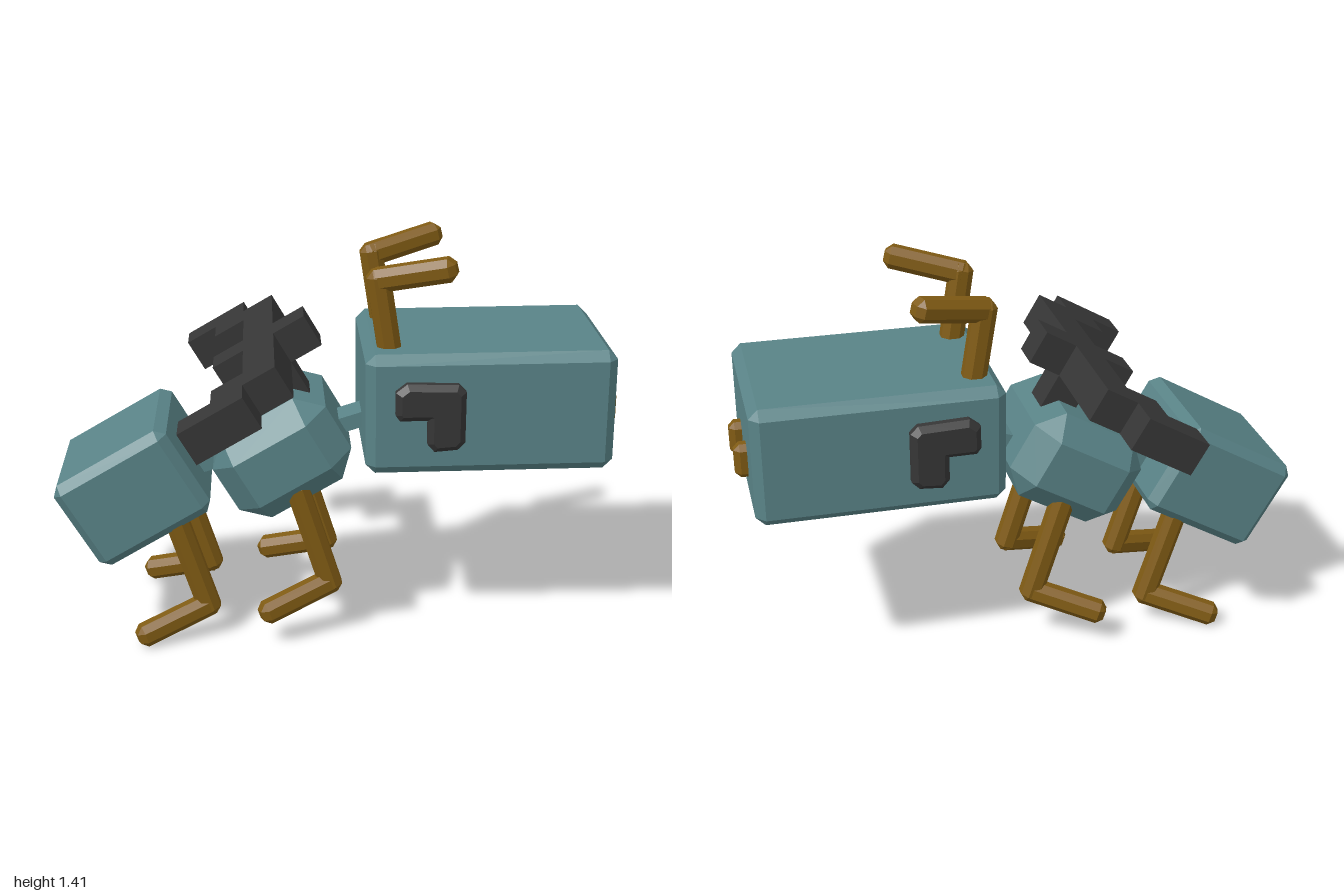
import * as THREE from 'three';
import { ConvexGeometry } from 'three/addons/geometries/ConvexGeometry.js';

const material = (color) => new THREE.MeshStandardMaterial({ color, flatShading: true });
const V = (x, y, z) => new THREE.Vector3(x, y, z);
const TILT = Math.PI / 6;

// Box with every edge and corner cut flat
function chamferBox(w, h, d, c) {
  const pts = [];
  for (const x of [-w / 2, w / 2])
    for (const y of [-h / 2, h / 2])
      for (const z of [-d / 2, d / 2]) {
        const cx = x - Math.sign(x) * c, cy = y - Math.sign(y) * c, cz = z - Math.sign(z) * c;
        pts.push(V(x, cy, cz), V(cx, y, cz), V(cx, cy, z));
      }
  return new ConvexGeometry(pts);
}

export function createModel() {
  const model = new THREE.Group();
  const teal = material(0x598387);
  const amber = material(0x805b14);
  const dark = material(0x363636);

  function add(name, geometry, mat, x, y, z, tilt = 0, parent = model) {
    const mesh = new THREE.Mesh(geometry, mat);
    mesh.name = name;
    mesh.position.set(x, y, z);
    mesh.rotation.z = tilt;
    parent.add(mesh);
    return mesh;
  }

  // Body segments and the links between them
  add('head', chamferBox(0.862, 0.43, 0.62, 0.033), teal, 0.522, 0.881, 0, 0.005);
  add('thorax', chamferBox(0.46, 0.35, 0.51, 0.085), teal, -0.195, 0.68, 0, TILT);
  add('abdomen', chamferBox(0.46, 0.355, 0.51, 0.032), teal, -0.722, 0.56, 0, TILT);
  add('neck', new THREE.BoxGeometry(0.2, 0.055, 0.12), teal, 0.055, 0.77, 0, 0.3);
  add('waist', new THREE.BoxGeometry(0.2, 0.055, 0.12), teal, -0.455, 0.625, 0, 0.3);

  // L-shaped eyes with bevelled rims
  const eyeShape = new THREE.Shape([
    [0.21, 0.9], [0.215, 0.893], [0.315, 0.893], [0.32, 0.887], [0.32, 0.795], [0.333, 0.78],
    [0.395, 0.785], [0.41, 0.8], [0.41, 0.965], [0.395, 0.98], [0.235, 0.985], [0.21, 0.965],
  ].map(([x, y]) => new THREE.Vector2(x, y)));
  const eyeGeometry = new THREE.ExtrudeGeometry(eyeShape, {
    depth: 0.06, bevelThickness: 0.02, bevelSize: 0.02, bevelSegments: 1,
  });
  eyeGeometry.translate(0, 0, -0.03);

  // Bent limb made of two chamfered bars
  const T = 0.082;
  function limb(name, root, bend, tip) {
    const group = new THREE.Group();
    group.name = name;
    const bar = (part, a, b, extraA, extraB) => {
      const dir = b.clone().sub(a).normalize();
      const start = a.clone().addScaledVector(dir, -extraA);
      const end = b.clone().addScaledVector(dir, extraB);
      const mesh = add(part, chamferBox(T, T, start.distanceTo(end), 0.023), amber, 0, 0, 0, 0, group);
      mesh.position.copy(start).add(end).multiplyScalar(0.5);
      mesh.up.set(0, 0, 1);
      mesh.lookAt(end);
    };
    bar('upperBar', root, bend, 0, 0.038);
    bar('lowerBar', bend, tip, 0.03, 0.01);
    model.add(group);
  }

  for (const [side, s] of [['left', 1], ['right', -1]]) {
    // The head points along +x, so the sides are named by z only for pairing
    add(side + 'Eye', eyeGeometry, dark, 0, 0, s * 0.302);
    add(side + 'Mandible', chamferBox(0.1, 0.125, 0.066, 0.02), amber, 0.947, 0.828, s * 0.087);
    limb(side + 'Antenna', V(0.185, 1.04, s * 0.175), V(0.14, 1.328, s * 0.178), V(0.385, 1.385, s * 0.26));
    limb(side + 'FrontLeg', V(-0.15, 0.6, s * 0.187), V(-0.028, 0.208, s * 0.187), V(-0.27, 0.13, s * 0.285));
    limb(side + 'RearLeg', V(-0.59, 0.52, s * 0.187), V(-0.467, 0.128, s * 0.187), V(-0.71, 0.05, s * 0.285));
  }

  // Blocky back ornament: cells on a tilted grid, [u, v, z, length, depth]
  const C = 0.1235;
  const ornament = new THREE.Group();
  ornament.name = 'backOrnament';
  ornament.position.set(-0.295, 0.993, 0);
  ornament.rotation.z = TILT;
  model.add(ornament);
  const block = (name, u, v, z, length, depth, height = 1) =>
    add(name, new THREE.BoxGeometry(length * C, height * C, depth * C), dark, u * C, v * C, z * C, 0, ornament);
  block('crossBar', 0.5, 0, 0, 1, 5);
  block('frontStub', 1.5, 0, 0, 1, 1);
  block('backStub', -0.5, 0, 0, 1, 1);
  block('stem', 0.5, -1.25, 0, 1, 1, 1.5);
  for (const s of [1, -1]) {
    block('innerStep', 0, 0, s * 3, 2, 1);
    block('outerStep', -1, 0, s * 4, 2, 1);
  }
  return model;
}
